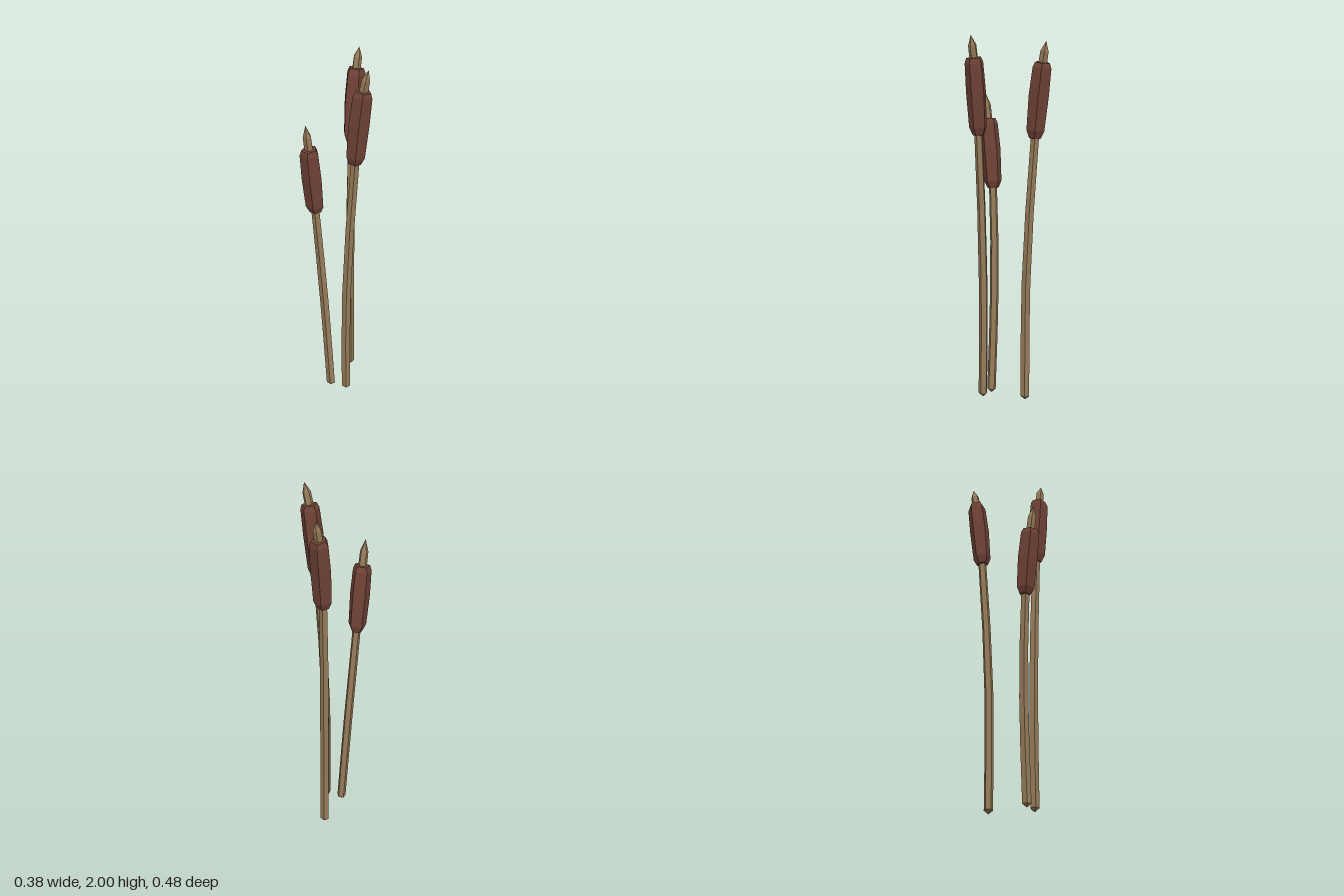
import * as THREE from 'three';

const SIDES = 5;

// Five-sided skin around a spine; rings are [spine parameter, radius], radius 0 closes an end
function loft(spine, rings, turn) {
  const pts = rings.map(([t, r]) => {
    const c = spine.getPoint(t);
    const dir = spine.getTangent(t);
    const u = new THREE.Vector3(1, 0, 0).addScaledVector(dir, -dir.x).normalize();
    const w = new THREE.Vector3().crossVectors(u, dir);
    return Array.from({ length: SIDES }, (_, i) => {
      const a = turn + (i / SIDES) * Math.PI * 2;
      return c.clone().addScaledVector(u, r * Math.cos(a)).addScaledVector(w, r * Math.sin(a));
    });
  });
  const tris = [];
  for (let k = 0; k < rings.length - 1; k++) {
    for (let i = 0; i < SIDES; i++) {
      const j = (i + 1) % SIDES;
      const [a, b, c, d] = [pts[k][i], pts[k][j], pts[k + 1][j], pts[k + 1][i]];
      if (rings[k][1] > 0) tris.push(a, d, b);
      if (rings[k + 1][1] > 0) tris.push(b, d, c);
      else if (rings[k][1] === 0) continue;
    }
  }
  const geometry = new THREE.BufferGeometry().setFromPoints(tris);
  geometry.computeVertexNormals(); // unshared corners give flat faces
  return geometry;
}

// Ring profiles along the spine: base 0, bend 0.25, head 0.5 to 0.75, tip 1
const STEM = [[0, 0], [0.008, 0.025], [0.14, 0.025], [0.25, 0.025], [0.37, 0.024], [0.52, 0.023]];
const HEAD = [[0.497, 0], [0.5, 0.032], [0.522, 0.05], [0.625, 0.056], [0.725, 0.052], [0.747, 0.041], [0.75, 0]];
const TIP = [[0.735, 0.024], [0.87, 0.023], [1, 0]];

// Spine points: base, bend, head bottom, head top, tip; turn is a corner direction in degrees
const STALKS = [
  {
    name: 'tallLeftStalk', turn: -27,
    spine: [[0.058, 0.005, 0.068], [0.058, 0.66, 0.063], [0.1, 1.47, 0.043], [0.142, 1.885, 0.026], [0.167, 2, 0.017]],
  },
  {
    name: 'shortFrontStalk', turn: -90,
    spine: [[-0.026, 0.005, 0.106], [-0.058, 0.58, 0.122], [-0.078, 1.16, 0.16], [-0.075, 1.545, 0.203], [-0.072, 1.685, 0.227]],
  },
  {
    name: 'tallBackStalk', turn: -121,
    spine: [[-0.1, 0.005, -0.111], [-0.103, 0.66, -0.113], [-0.13, 1.455, -0.15], [-0.145, 1.86, -0.197], [-0.148, 1.968, -0.221]],
  },
];

export function createModel() {
  const stemMat = new THREE.MeshStandardMaterial({ color: 0x967b59 });
  stemMat.name = 'dry reed tan';
  const headMat = new THREE.MeshStandardMaterial({ color: 0x6f4236 });
  headMat.name = 'seed head brown';

  const model = new THREE.Group();
  model.name = 'reeds';
  for (const { name, turn, spine } of STALKS) {
    const curve = new THREE.CatmullRomCurve3(spine.map((p) => new THREE.Vector3(...p)));
    const stalk = new THREE.Group();
    stalk.name = name;
    const parts = [['stem', STEM, stemMat], ['seedHead', HEAD, headMat], ['tip', TIP, stemMat]];
    for (const [part, rings, material] of parts) {
      const mesh = new THREE.Mesh(loft(curve, rings, THREE.MathUtils.degToRad(turn)), material);
      mesh.name = part;
      stalk.add(mesh);
    }
    model.add(stalk);
  }
  return model;
}
